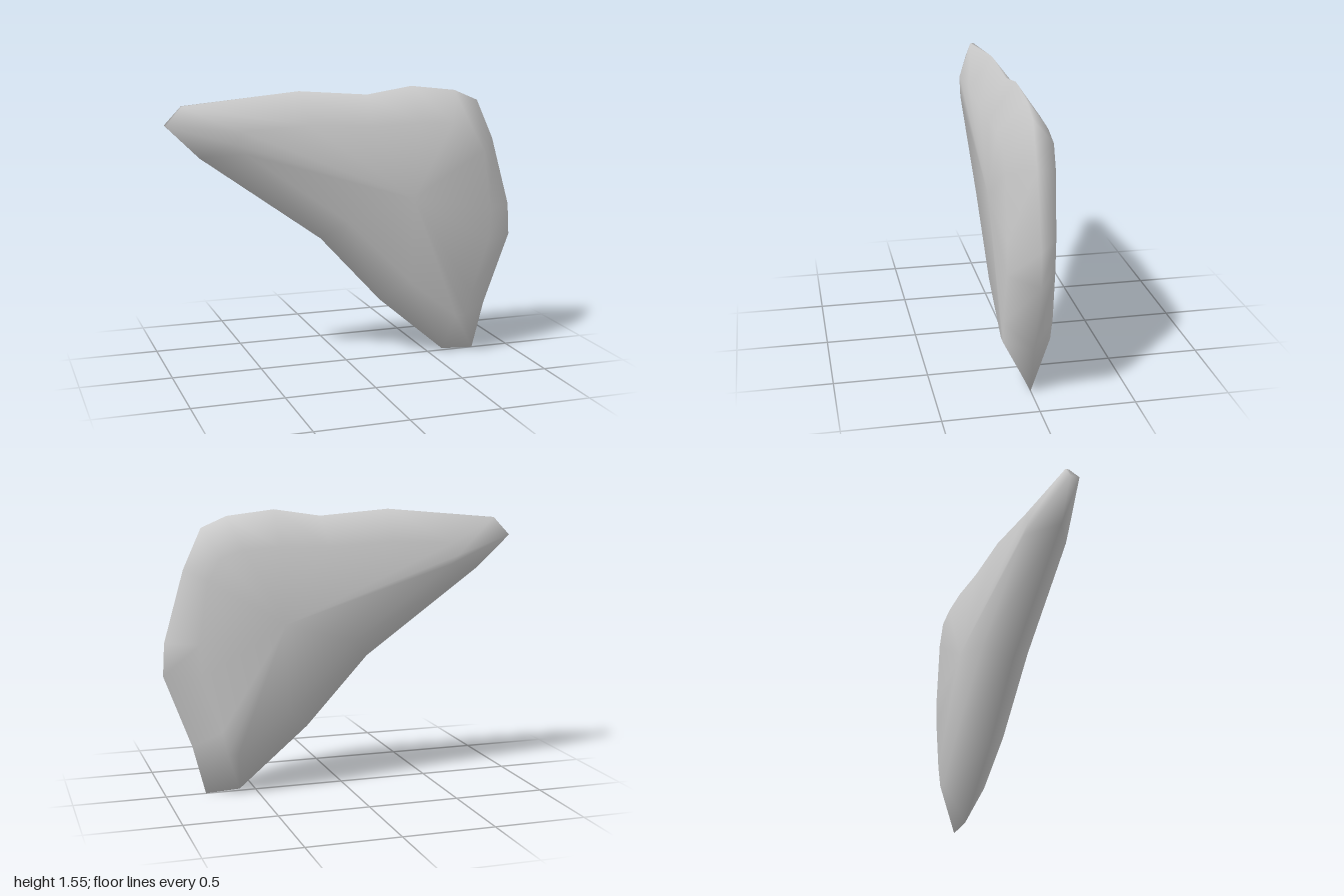
import * as THREE from 'three';
import { mergeVertices } from 'three/addons/utils/BufferGeometryUtils.js';

// Each station round the slab: rim x, y, half-thickness of rim, then face-edge x, y, front z, back z
const STATIONS = [
  [-1.00, 1.39, 0.025, -0.65, 1.29, 0.12, -0.115],
  [-0.91, 1.49, 0.01, -0.62, 1.36, 0.125, -0.115],
  [-0.27, 1.55, 0, -0.25, 1.38, 0.135, -0.13],
  [0.12, 1.52, 0, 0.10, 1.36, 0.138, -0.13],
  [0.38, 1.56, 0, 0.38, 1.37, 0.14, -0.13],
  [0.64, 1.53, 0, 0.58, 1.36, 0.14, -0.125],
  [0.78, 1.47, 0, 0.70, 1.32, 0.135, -0.125],
  [0.88, 1.25, 0, 0.77, 1.20, 0.133, -0.12],
  [0.99, 0.86, 0, 0.82, 0.86, 0.133, -0.115],
  [1.00, 0.68, 0, 0.81, 0.68, 0.133, -0.115],
  [0.85, 0.28, 0, 0.71, 0.38, 0.13, -0.13],
  [0.78, 0.01, 0, 0.68, 0.25, 0.125, -0.125],
  [0.59, 0.02, 0, 0.62, 0.25, 0.125, -0.125],
  [0.20, 0.35, 0, 0.34, 0.47, 0.135, -0.145],
  [-0.15, 0.73, 0, -0.03, 0.84, 0.137, -0.135],
  [-0.82, 1.21, 0, -0.60, 1.24, 0.125, -0.118],
];

function slabGeometry() {
  const n = STATIONS.length;
  const positions = [];
  const index = [];

  // Four loops from front face edge over the rim to the back face edge
  for (const [rx, ry, w, fx, fy, front, back] of STATIONS) {
    positions.push(fx, fy, front, rx, ry, w, rx, ry, -w, fx, fy, back);
  }
  // Face centres
  const frontCentre = n * 4, backCentre = frontCentre + 1;
  positions.push(0.35, 0.95, 0.14, 0.35, 0.95, -0.135);

  for (let i = 0; i < n; i++) {
    const a = i * 4, b = ((i + 1) % n) * 4;
    // Bevels and rim
    for (let k = 0; k < 3; k++) {
      index.push(a + k, b + k, a + k + 1, b + k, b + k + 1, a + k + 1);
    }
    // Broad faces
    index.push(frontCentre, b, a, backCentre, a + 3, b + 3);
  }

  const geometry = new THREE.BufferGeometry();
  geometry.setAttribute('position', new THREE.Float32BufferAttribute(positions, 3));
  geometry.setIndex(index);
  // Weld the sharp rim so shading flows across it
  const welded = mergeVertices(geometry);
  welded.computeVertexNormals();
  return welded;
}

export function createModel() {
  const group = new THREE.Group();
  group.name = 'triangularStone';
  const stone = new THREE.MeshStandardMaterial({ color: 0xcccccc });
  stone.name = 'stone grey';
  const slab = new THREE.Mesh(slabGeometry(), stone);
  slab.name = 'bevelledSlab';
  group.add(slab);
  return group;
}
